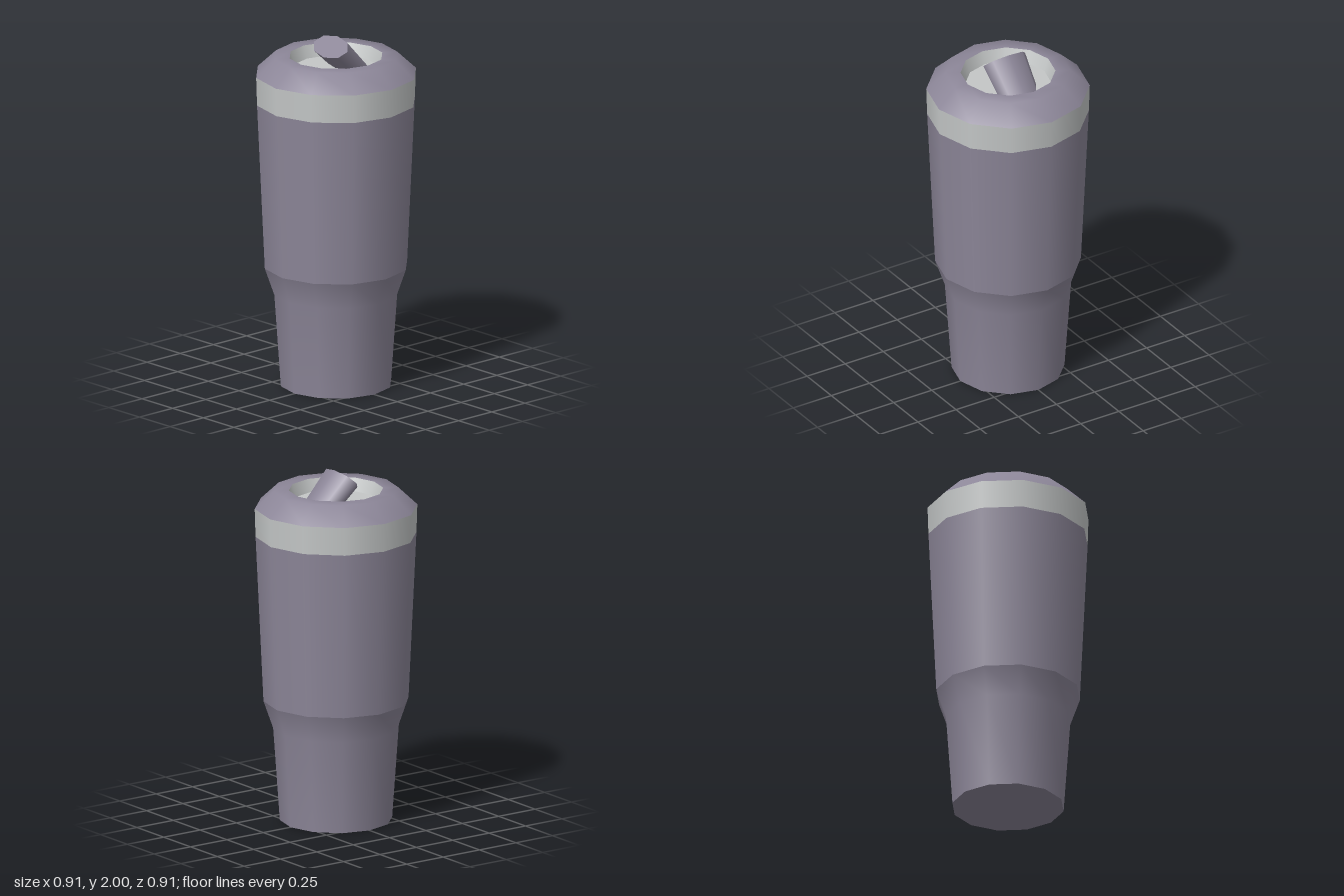
import * as THREE from 'three';

export function createModel() {
  const purple = new THREE.MeshStandardMaterial({ color: 0x8c8698 });
  purple.name = 'dusty purple';
  const silver = new THREE.MeshStandardMaterial({ color: 0xc4c7c7 });
  silver.name = 'silver grey';

  const model = new THREE.Group();
  model.name = 'tumbler';

  // Twelve-sided ring; separate rings keep hard edges between them
  function ring(name, material, profile) {
    const points = profile.map(([r, y]) => new THREE.Vector2(r, y));
    const mesh = new THREE.Mesh(new THREE.LatheGeometry(points, 12), material);
    mesh.name = name;
    model.add(mesh);
  }

  // Cup
  ring('base', purple, [[0, 0], [0.313, 0]]);
  ring('lowerBody', purple, [[0.313, 0], [0.35, 0.53], [0.404, 0.685]]);
  ring('upperBody', purple, [[0.404, 0.685], [0.448, 1.63]]);
  ring('rimBand', silver, [[0.448, 1.63], [0.453, 1.79]]);

  // Lid with a recessed centre
  ring('lid', purple, [[0.453, 1.79], [0.347, 1.89], [0.263, 1.89]]);
  ring('recessWall', silver, [[0.263, 1.89], [0.237, 1.82]]);
  ring('recessFloor', silver, [[0.237, 1.82], [0, 1.82]]);

  // Flattened, slanted spout rising out of the recess
  const length = 0.26;
  const spoutShape = new THREE.CylinderGeometry(0.137, 0.118, length, 8);
  spoutShape.translate(0, -length / 2, 0);
  spoutShape.scale(1, 1, 0.53);
  const spout = new THREE.Mesh(spoutShape, purple);
  spout.name = 'spout';
  spout.rotation.x = 0.8;
  spout.position.set(0, 1.948, 0.04);
  model.add(spout);

  return model;
}
